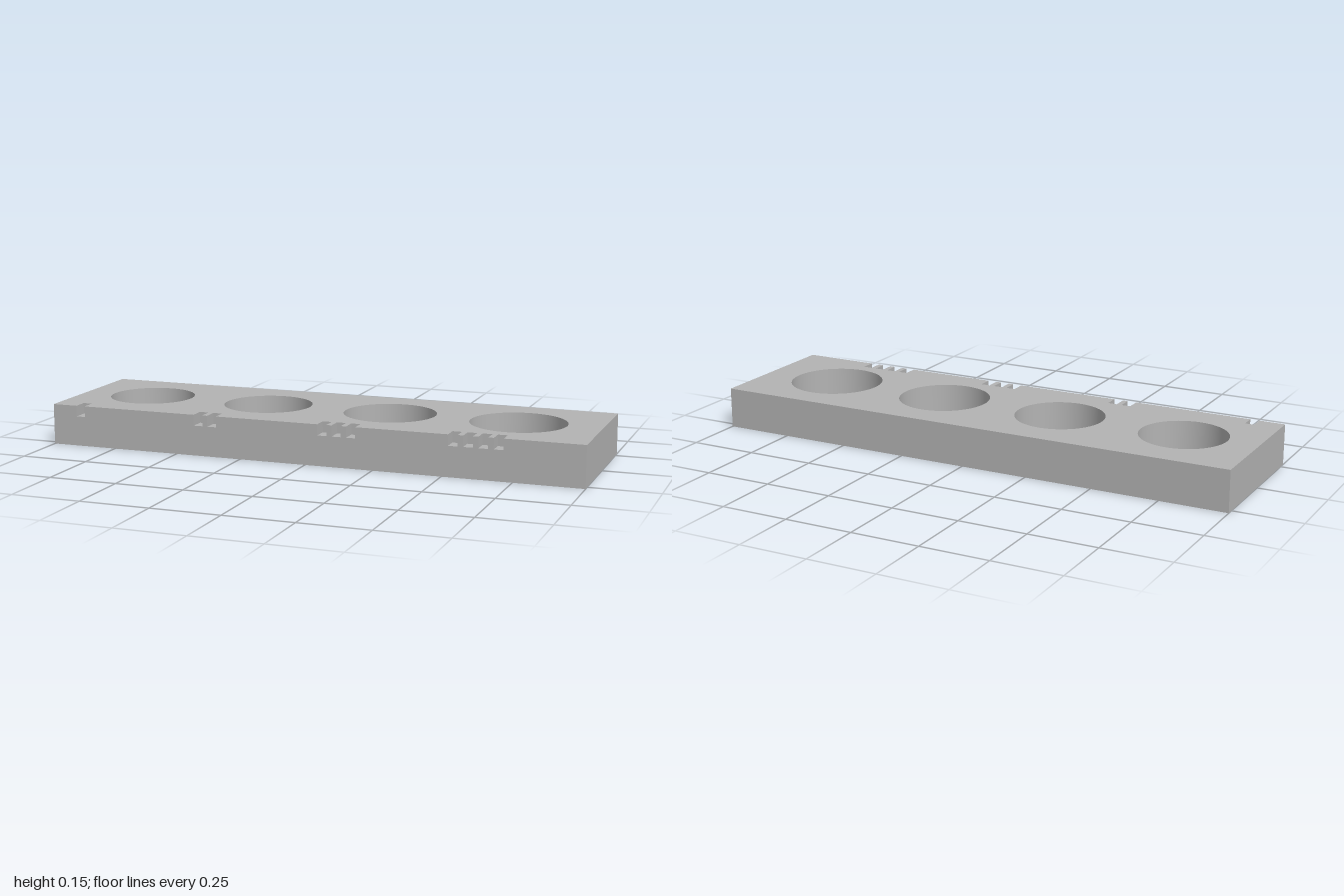
import * as THREE from 'three';

const X = 1, Z = 0.276, H = 0.15;           // block half length, half width, height
const FLOOR = 0.03;                         // height of the pocket floors
const SLOT_W = 0.034, SLOT_Y = 0.11, SLOT_Z = 0.221, SLOT_STEP = 0.0535;

// Four pockets that grow in radius, each counted by its own number of slots
const pockets = [0, 1, 2, 3].map(i => ({
  x: -0.727 + 0.476 * i,
  r: 0.159 + 0.005 * i,
  slots: Array.from({ length: i + 1 }, (_, k) => -0.888 + 0.476 * i + SLOT_STEP * k),
}));
const slotXs = pockets.flatMap(p => p.slots);

// Rectangle whose edge at yEdge is notched as far as yInner at every slot
function notchedShape(yPlain, yEdge, yInner) {
  const pts = [[-X, yPlain], [-X, yEdge]];
  for (const x of slotXs) {
    const a = x - SLOT_W / 2, b = x + SLOT_W / 2;
    pts.push([a, yEdge], [a, yInner], [b, yInner], [b, yEdge]);
  }
  pts.push([X, yEdge], [X, yPlain]);
  return new THREE.Shape(pts.map(p => new THREE.Vector2(...p)));
}

export function createModel() {
  const group = new THREE.Group();
  const grey = new THREE.MeshStandardMaterial({ color: 0xb3b3b3, side: THREE.DoubleSide });
  grey.name = 'grey';

  const add = (name, geometry, x = 0, y = 0, z = 0) => {
    const mesh = new THREE.Mesh(geometry, grey);
    mesh.name = name;
    mesh.position.set(x, y, z);
    group.add(mesh);
  };
  const plane = (w, h) => new THREE.PlaneGeometry(w, h);

  // Top face with round openings and notches along the front edge
  const top = notchedShape(Z, -Z, -SLOT_Z);
  for (const p of pockets) {
    top.holes.push(new THREE.Path().absarc(p.x, 0, p.r, 0, Math.PI * 2, true));
  }
  add('topFace', new THREE.ShapeGeometry(top, 32).rotateX(-Math.PI / 2), 0, H, 0);

  // Outer walls and underside
  add('frontFace', new THREE.ShapeGeometry(notchedShape(0, H, SLOT_Y)), 0, 0, Z);
  add('backFace', plane(2 * X, H).rotateY(Math.PI), 0, H / 2, -Z);
  for (const s of [-1, 1]) {
    add(s > 0 ? 'leftFace' : 'rightFace', plane(2 * Z, H).rotateY(s * Math.PI / 2), s * X, H / 2, 0);
  }
  add('underside', plane(2 * X, 2 * Z).rotateX(Math.PI / 2));

  // Pocket walls and floors
  for (const p of pockets) {
    const wall = new THREE.CylinderGeometry(p.r, p.r, H - FLOOR, 64, 1, true);
    add('pocketWall', wall.rotateY(Math.PI / 2), p.x, (H + FLOOR) / 2, 0);
    add('pocketFloor', new THREE.CircleGeometry(p.r, 64).rotateX(-Math.PI / 2), p.x, FLOOR, 0);
  }

  // Inside faces of the counting slots
  const h = H - SLOT_Y, d = Z - SLOT_Z, yMid = (H + SLOT_Y) / 2, zMid = (Z + SLOT_Z) / 2;
  for (const x of slotXs) {
    add('slotFloor', plane(SLOT_W, d).rotateX(-Math.PI / 2), x, SLOT_Y, zMid);
    add('slotBack', plane(SLOT_W, h), x, yMid, SLOT_Z);
    for (const s of [-1, 1]) {
      add('slotSide', plane(d, h).rotateY(-s * Math.PI / 2), x + s * SLOT_W / 2, yMid, zMid);
    }
  }
  return group;
}
